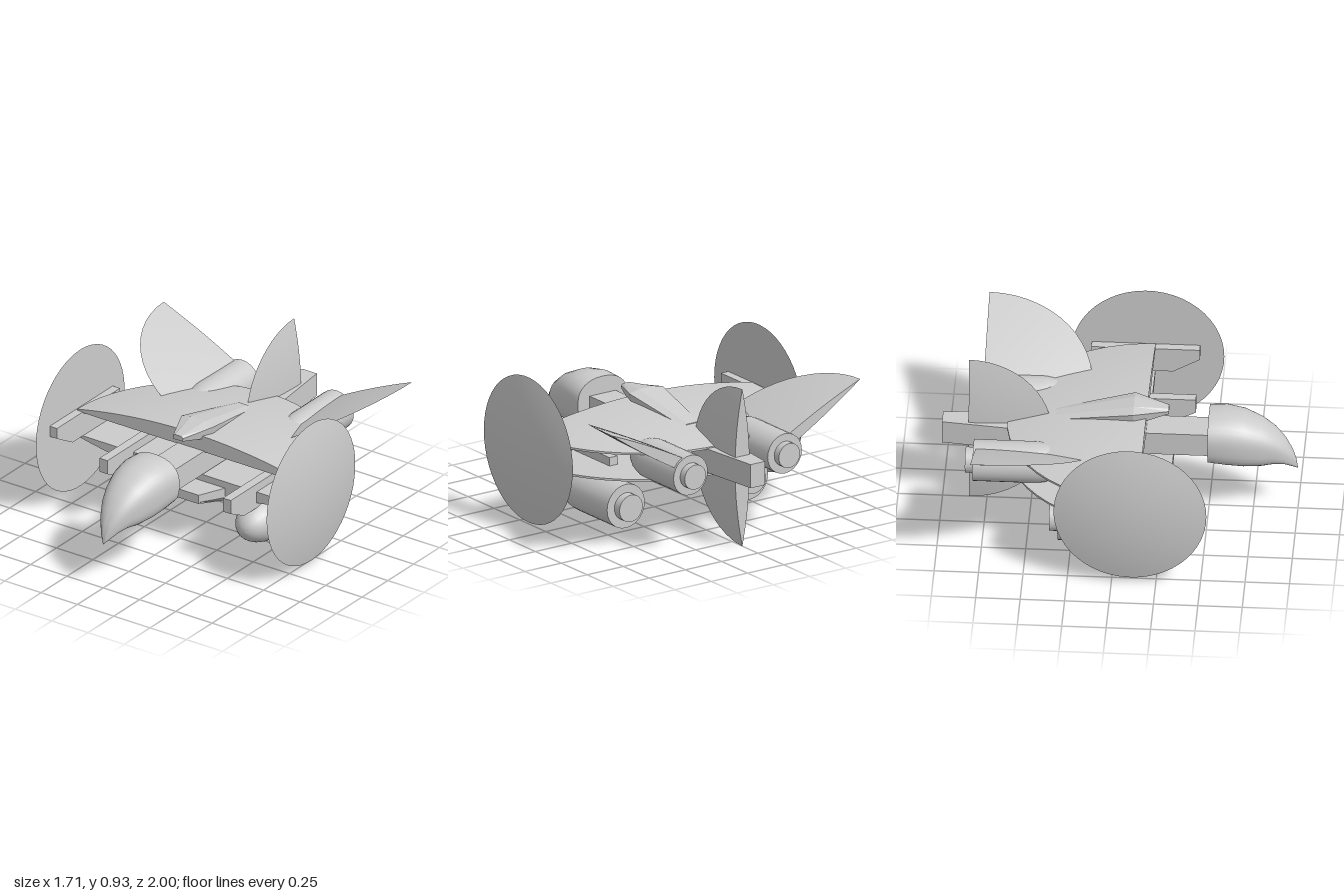
import * as THREE from 'three';
import { toCreasedNormals } from 'three/addons/utils/BufferGeometryUtils.js';

const material = new THREE.MeshStandardMaterial({ color: 0xcccccc, side: THREE.DoubleSide });

export function createModel() {
  const model = new THREE.Group();
  const add = (name, geometry, x = 0, y = 0, z = 0, crease = 0.6) => {
    const mesh = new THREE.Mesh(toCreasedNormals(geometry, crease), material);
    mesh.name = name;
    mesh.position.set(x, y, z);
    model.add(mesh);
    return mesh;
  };

  // Lens-shaped disc about y, or a sector of one with its cut faces closed
  const addLens = (name, r, low, rim, high, start, sweep, place) => {
    const points = [];
    const n = 10;
    for (let i = 0; i <= n; i++) points.push(new THREE.Vector2(r * i / n, -low * (1 - (i / n) ** 2)));
    for (let i = n; i >= 0; i--) {
      if (i === n && rim === 0) continue;
      points.push(new THREE.Vector2(r * i / n, rim + high * (1 - (i / n) ** 2)));
    }
    const parts = [new THREE.LatheGeometry(points, Math.ceil(sweep * 8), start, sweep)];
    if (sweep < 6) {
      for (const phi of [start, start + sweep]) {
        parts.push(new THREE.ShapeGeometry(new THREE.Shape(points)).rotateY(phi - Math.PI / 2));
      }
    }
    for (const part of parts) add(name, place(part));
  };

  // Solid skinned over rings [z, [[x, y], ...]], listed from back to front
  const loft = (rings) => {
    const n = rings[0][1].length;
    const positions = [];
    const index = [];
    for (const [z, ring] of rings) for (const [x, y] of ring) positions.push(x, y, z);
    for (let i = 0; i < rings.length - 1; i++) {
      for (let j = 0; j < n; j++) {
        const a = i * n + j, b = i * n + (j + 1) % n;
        index.push(a, b, b + n, a, b + n, a + n);
      }
    }
    const last = (rings.length - 1) * n;
    for (let j = 1; j < n - 1; j++) {
      index.push(0, j + 1, j, last, last + j, last + j + 1);
    }
    const geometry = new THREE.BufferGeometry();
    geometry.setAttribute('position', new THREE.Float32BufferAttribute(positions, 3));
    geometry.setIndex(index);
    return geometry;
  };
  const rect = (w, y0, y1) => [[w, y0], [w, y1], [-w, y1], [-w, y0]];
  const hex = (w0, y0, w1, y1, w2, y2) =>
    [[w0, y0], [w1, y1], [w2, y2], [-w2, y2], [-w1, y1], [-w0, y0]];

  // Two half-round wings with their flat faces towards each other
  addLens('upperWing', 0.785, 0, 0.012, 0.085, Math.PI / 2, Math.PI,
    (g) => g.translate(0, 0.535, 0.15));
  addLens('lowerWing', 0.785, 0, 0.012, 0.085, Math.PI / 2, Math.PI,
    (g) => g.rotateZ(Math.PI).translate(0, 0.39, 0.15));

  // Central spine, forming the neck in front and the tail boom behind
  add('spine', loft([
    [-1, rect(0.05, 0.4, 0.54)],
    [-0.63, rect(0.09, 0.4, 0.54)],
    [0.55, rect(0.09, 0.4, 0.54)],
  ]));

  // Vertical half-disc tail fin, above and below the boom
  addLens('tailFin', 0.465, 0.05, 0, 0.05, -Math.PI / 2, Math.PI,
    (g) => g.rotateZ(Math.PI / 2).translate(0, 0.47, -0.85));

  // Beaked head: rounded on top, squarer below
  const headRings = [
    [0.5, 0.17, 0.36, 0.642], [0.6, 0.17, 0.347, 0.65], [0.7, 0.157, 0.335, 0.632],
    [0.8, 0.13, 0.332, 0.588], [0.87, 0.102, 0.338, 0.537], [0.93, 0.069, 0.325, 0.47],
    [0.97, 0.038, 0.302, 0.4], [0.99, 0.015, 0.287, 0.345], [1, 0.002, 0.28, 0.285],
  ].map(([z, w, y0, y1]) => {
    const ring = [];
    const middle = y0 + (y1 - y0) * 0.55;
    for (let i = 0; i < 32; i++) {
      const a = i / 32 * Math.PI * 2;
      const c = Math.cos(a), s = Math.sin(a);
      const power = s < 0 ? 0.6 : 0.9;
      const height = s < 0 ? middle - y0 : y1 - middle;
      ring.push([w * Math.sign(c) * Math.abs(c) ** power,
        middle + height * Math.sign(s) * Math.abs(s) ** power]);
    }
    return [z, ring];
  });
  add('head', loft(headRings), 0, 0, 0, 0.8);

  // Faceted canopy on the upper wing
  add('canopy', loft([
    [-0.36, hex(0.06, 0.55, 0.06, 0.59, 0.03, 0.6)],
    [0.08, hex(0.1, 0.6, 0.115, 0.675, 0.05, 0.69)],
    [0.275, hex(0.03, 0.635, 0.035, 0.655, 0.02, 0.665)],
  ]), 0, 0, 0, 0.1);

  // Wedge-shaped chin block under the lower wing
  add('chinBlock', loft([
    [-0.15, hex(0.15, 0.3, 0.2, 0.33, 0.2, 0.35)],
    [0.14, hex(0.21, 0.26, 0.24, 0.29, 0.24, 0.35)],
    [0.3, hex(0.16, 0.29, 0.16, 0.3, 0.16, 0.345)],
  ]), 0, 0, 0, 0.1);

  // Round-nosed engine with a short nozzle
  const addEngine = (name, x, y, back, shoulder, nose, r, nozzle, nozzleLength) => {
    const points = [[0, back - nozzleLength], [nozzle, back - nozzleLength], [nozzle, back], [r, back]];
    for (let i = 0; i <= 8; i++) {
      const a = i / 8 * Math.PI / 2;
      points.push([r * Math.cos(a), shoulder + (nose - shoulder) * Math.sin(a)]);
    }
    const profile = points.map(([px, py]) => new THREE.Vector2(Math.max(px, 0), py));
    add(name, new THREE.LatheGeometry(profile, 24).rotateX(Math.PI / 2), x, y, 0);
  };

  // Bar cut from a side outline of [z, y] points
  const addBar = (name, x, width, outline) => {
    const shape = new THREE.Shape(outline.map(([z, y]) => new THREE.Vector2(-z, y)));
    const bar = new THREE.ExtrudeGeometry(shape, { depth: width, bevelEnabled: false });
    add(name, bar.translate(0, 0, -width / 2).rotateY(Math.PI / 2), x, 0, 0, 0.1);
  };

  for (const [side, s] of [['left', 1], ['right', -1]]) {
    addEngine(side + 'UpperEngine', s * 0.325, 0.478, -0.805, -0.47, -0.28, 0.118, 0.073, 0.045);
    addEngine(side + 'LowerEngine', s * 0.425, 0.18, -0.32, 0.04, 0.25, 0.13, 0.08, 0.05);

    // Pylon carrying the lower engine, and the bar joining the wing tips
    addBar(side + 'Pylon', s * 0.425, 0.055,
      [[-0.2, 0.44], [0.4, 0.44], [0.4, 0.355], [0.27, 0.29], [-0.2, 0.29]]);
    addBar(side + 'TipBar', s * 0.77, 0.05,
      [[-0.21, 0.54], [0.4, 0.54], [0.4, 0.475], [0.25, 0.39], [-0.21, 0.39]]);

    // Large side disc, flat inside and domed outside
    addLens(side + 'Disc', 0.43, 0, 0, 0.05, 0, Math.PI * 2,
      (g) => g.rotateZ(-s * Math.PI / 2).translate(s * 0.795, 0.47, 0.105));

    // Raised rear fin, a quarter of a lens
    addLens(side + 'RearFin', 0.565, 0.035, 0, 0.035, s > 0 ? 0 : -Math.PI / 2, Math.PI / 2,
      (g) => g.scale(1, 1, 1.08).rotateZ(s * 0.5).translate(s * 0.36, 0.54, -0.79));
  }
  return model;
}
